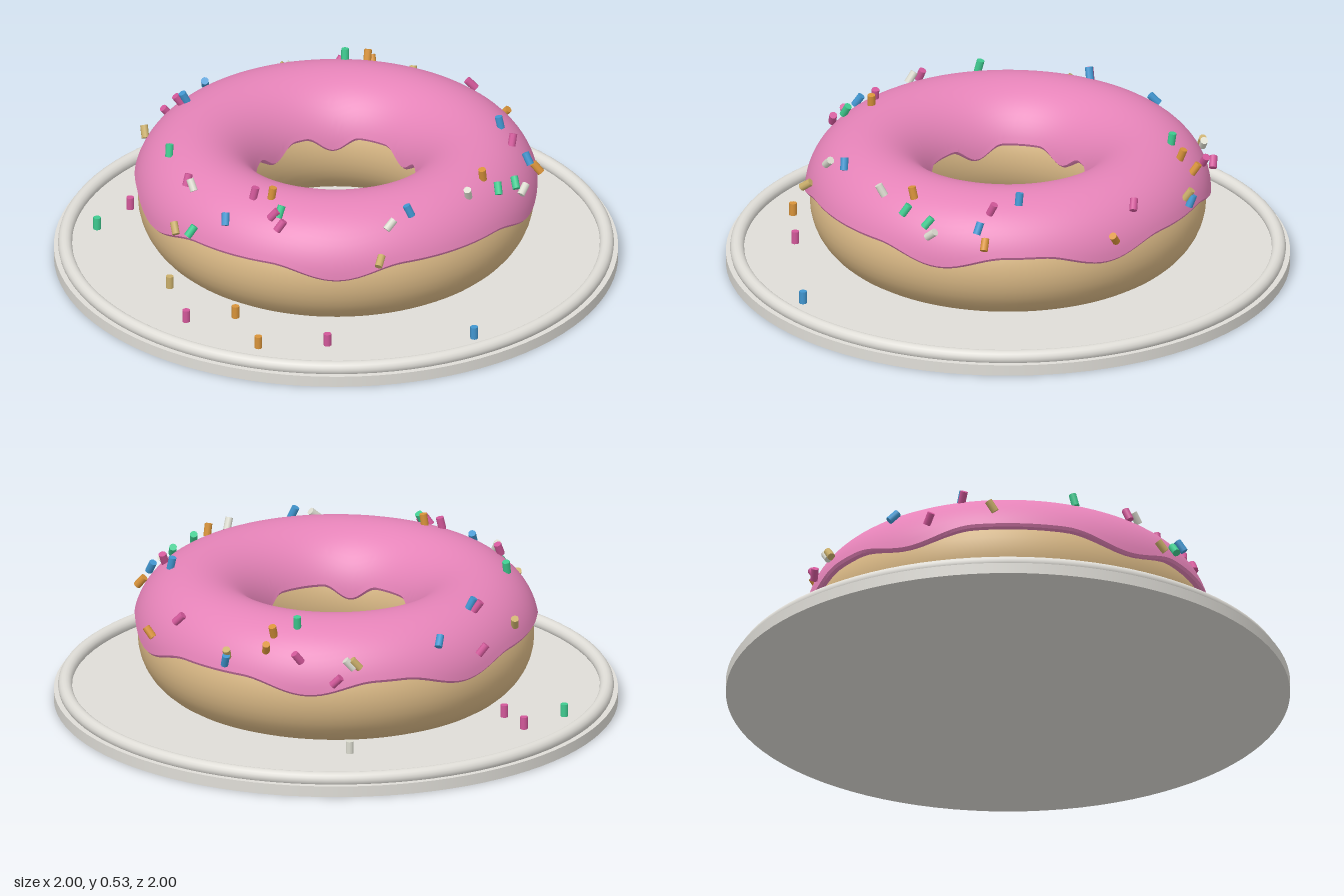
import * as THREE from 'three';
import { toCreasedNormals } from 'three/addons/utils/BufferGeometryUtils.js';

const RING = 0.4975; // radius of the ring's centre line
const ICING_Y = 0.275;
const ICING_R = 0.2225;

const material = (name, color) => {
  const m = new THREE.MeshStandardMaterial({ color });
  m.name = name;
  return m;
};

const addMesh = (parent, name, geometry, mat) => {
  const mesh = new THREE.Mesh(geometry, mat);
  mesh.name = name;
  parent.add(mesh);
  return mesh;
};

// Height of the icing's lower edge: level, with six soft drips
const DRIPS = [10, 60, 132, 196, 262, 310];
function edgeHeight(deg) {
  let y = 0.32;
  for (const d of DRIPS) {
    const gap = Math.abs(((deg - d + 540) % 360) - 180);
    if (gap < 20) y -= 0.025 * (1 + Math.cos((gap / 20) * Math.PI));
  }
  return y;
}

// Icing: an arc swept round the ring, with a turned-in lip at both edges
function icingGeometry() {
  const around = 180, arc = 28;
  const positions = [], index = [];
  const rows = arc + 5;
  for (let i = 0; i < around; i++) {
    const a = (i / around) * Math.PI * 2;
    const start = Math.asin((edgeHeight((i / around) * 360) - ICING_Y) / ICING_R);
    const section = [[0.185, start], [0.214, start]];
    for (let j = 0; j <= arc; j++) {
      const from = start + 0.04;
      section.push([ICING_R, from + (j / arc) * (Math.PI - 2 * from)]);
    }
    section.push([0.214, Math.PI - start], [0.185, Math.PI - start]);
    for (const [r, phi] of section) {
      const rho = RING + r * Math.cos(phi);
      positions.push(rho * Math.cos(a), ICING_Y + r * Math.sin(phi), rho * Math.sin(a));
    }
    const p = i * rows, q = ((i + 1) % around) * rows;
    for (let j = 0; j < rows - 1; j++) {
      index.push(p + j, p + j + 1, q + j, q + j, p + j + 1, q + j + 1);
    }
  }
  const g = new THREE.BufferGeometry();
  g.setAttribute('position', new THREE.Float32BufferAttribute(positions, 3));
  g.setIndex(index);
  return toCreasedNormals(g, 0.8);
}

// Sprinkles on the icing by colour: x, z, then sideways tilt in x and z
const ON_ICING = {
  pink: [[-0.18, -0.695, -0.6, -0.2], [-0.235, -0.57, -0.5, -0.3], [0.385, -0.625, -0.5, -0.5],
    [0.475, -0.51, 0.6, 0.1], [0.67, -0.025, -0.5, -0.5], [0.445, 0.44, 0.4, -0.2],
    [-0.57, 0.335, 0.5, 0.3], [-0.56, 0.29, 0.4, 0.5], [-0.54, 0.165, 0.2, 0.1], [-0.615, -0.105, 0.4, -0.1]],
  blue: [[-0.01, -0.68, -0.5, 0.5], [-0.22, -0.555, -0.4, -0.2], [0.65, -0.305, 0.1, -0.4],
    [0.475, 0.34, -0.1, -0.2], [0.455, 0.51, -0.1, -0.5], [-0.19, 0.595, -0.3, -0.3], [-0.66, 0.145, 0.4, -0.4]],
  green: [[0.415, -0.41, 0.1, -0.1], [0.2, 0.635, 0.3, -0.5], [0.3, 0.615, 0.3, -0.6],
    [-0.54, 0.3, 0.5, -0.1], [-0.72, 0.03, 0.6, 0.2], [-0.525, -0.3, 0.2, -0.15]],
  orange: [[0.5, -0.385, 0.3, -0.2], [0.545, -0.41, 0.3, -0.5], [0.715, 0.1, 0.3, 0.6],
    [0.495, 0.515, -0.4, -0.5], [0.175, 0.58, -0.2, 0.1], [-0.5, 0.215, 0.1, 0.1]],
  white: [[0.33, -0.625, 0.6, 0.3], [0.06, 0.63, -0.4, 0.3], [0.33, 0.625, 0.75, -0.2],
    [-0.28, 0.595, 0.75, 0.1], [-0.625, -0.07, 0.1, -0.6]],
  yellow: [[-0.38, -0.59, 0.3, -0.5], [0.31, -0.635, 0.6, 0.3], [0.64, -0.3, 0.4, -0.4],
    [-0.36, 0.63, 0.7, -0.4], [-0.725, -0.05, 0.3, -0.6]],
};

// Loose sprinkles standing on the plate: x, z
const ON_PLATE = {
  pink: [[-0.35, -0.7], [-0.78, 0.07], [-0.53, 0.54], [-0.355, -0.56]],
  blue: [[-0.11, 0.85]],
  green: [[-0.54, -0.665]],
  orange: [[-0.725, 0.39], [-0.63, 0.165]],
  white: [[0.305, -0.585]],
  yellow: [[-0.65, -0.16]],
};

export function createModel() {
  const model = new THREE.Group();
  model.name = 'frostedRingOnPlate';

  const plateMat = material('plate grey', 0xdfddd7);
  const doughMat = material('dough tan', 0xd9b885);
  const icingMat = material('icing pink', 0xe583b8);
  const sprinkleMats = {
    pink: material('sprinkle pink', 0xd2589a),
    blue: material('sprinkle blue', 0x4196d0),
    green: material('sprinkle green', 0x3fcb90),
    orange: material('sprinkle orange', 0xd8933a),
    white: material('sprinkle white', 0xdcdcd0),
    yellow: material('sprinkle yellow', 0xc9ae6a),
  };

  // Plate: flat disc with a raised round rim
  const plate = new THREE.Group();
  plate.name = 'plate';
  model.add(plate);
  addMesh(plate, 'plateDisc', new THREE.CylinderGeometry(1, 1, 0.04, 96), plateMat).position.y = 0.02;
  const rim = new THREE.TorusGeometry(0.96, 0.025, 16, 96).rotateX(Math.PI / 2);
  addMesh(plate, 'plateRim', rim, plateMat).position.y = 0.055;

  // Dough ring and its icing
  const dough = new THREE.TorusGeometry(RING, 0.205, 40, 96).rotateX(Math.PI / 2);
  addMesh(model, 'dough', dough, doughMat).position.y = 0.248;
  addMesh(model, 'icing', icingGeometry(), icingMat);

  // Sprinkles
  const sprinkles = new THREE.Group();
  sprinkles.name = 'sprinkles';
  model.add(sprinkles);
  const stick = new THREE.CylinderGeometry(0.014, 0.014, 0.045, 10);
  const up = new THREE.Vector3(0, 1, 0);
  for (const [color, mat] of Object.entries(sprinkleMats)) {
    for (const [x, z, tx, tz] of ON_ICING[color]) {
      const out = Math.hypot(x, z) - RING;
      const y = ICING_Y + Math.sqrt(Math.max(0.24 ** 2 - out * out, 0.004));
      const mesh = addMesh(sprinkles, 'icingSprinkle', stick, mat);
      mesh.position.set(x, y, z);
      const axis = new THREE.Vector3(tx, Math.sqrt(1 - tx * tx - tz * tz), tz);
      mesh.quaternion.setFromUnitVectors(up, axis);
    }
    for (const [x, z] of ON_PLATE[color]) {
      addMesh(sprinkles, 'plateSprinkle', stick, mat).position.set(x, 0.0625, z);
    }
  }
  return model;
}
